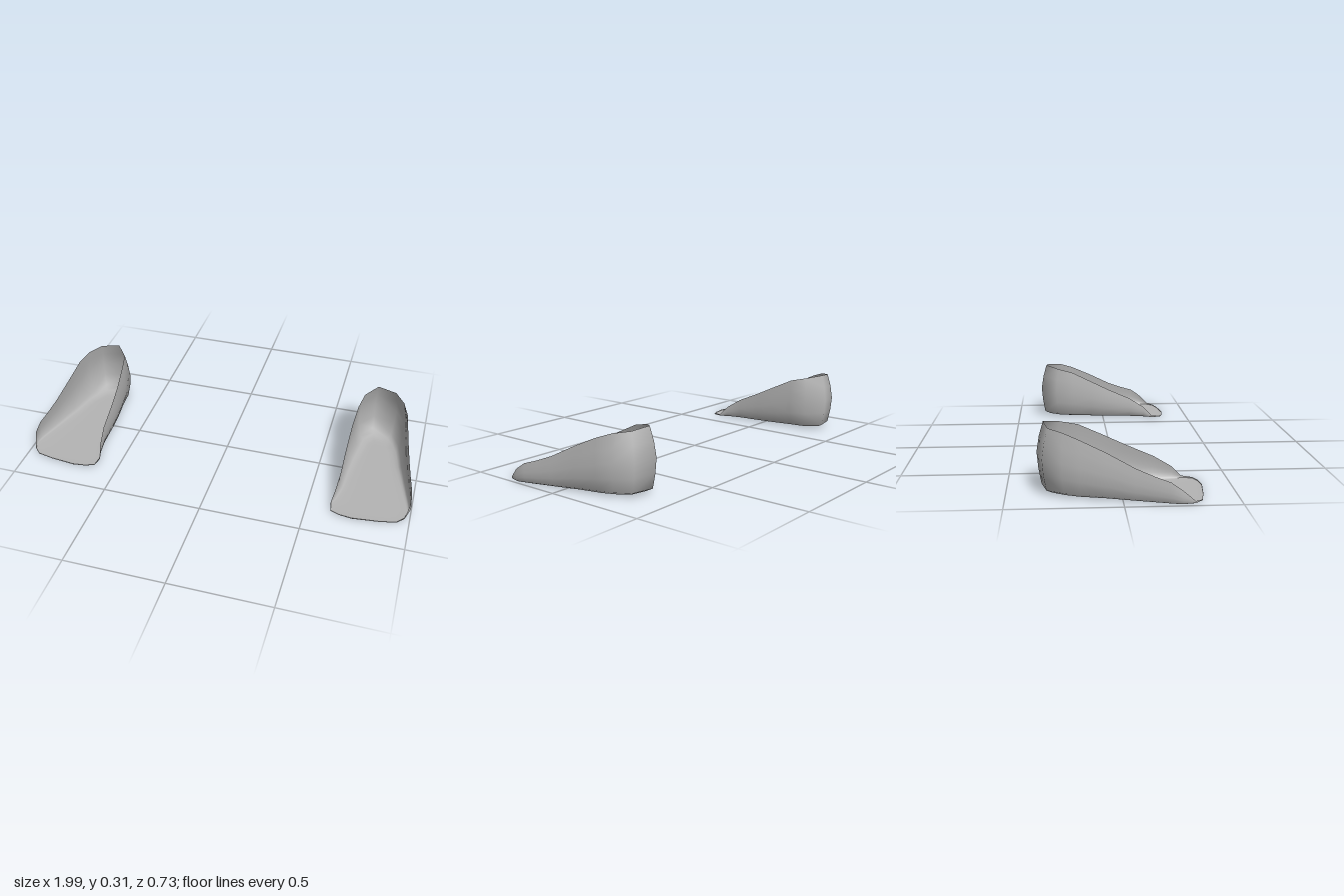
import * as THREE from 'three';

// Open rim of the left shell, from the toe round the outer side and heel and back: x, y, z
const RIM = [
  [0.73, 0.007, 0.367], [0.86, 0.006, 0.352], [0.94, 0.006, 0.335], [0.975, 0.012, 0.3],
  [0.995, 0.063, 0.245], [0.988, 0.098, 0.195], [0.972, 0.119, 0.13], [0.953, 0.15, 0.05],
  [0.925, 0.212, -0.07], [0.905, 0.262, -0.18], [0.875, 0.287, -0.25], [0.825, 0.297, -0.315],
  [0.73, 0.306, -0.335], [0.67, 0.29, -0.265], [0.652, 0.27, -0.18], [0.64, 0.218, -0.07],
  [0.636, 0.17, 0.03], [0.635, 0.113, 0.16], [0.625, 0.06, 0.245], [0.613, 0.012, 0.29],
  [0.622, 0.006, 0.34], [0.665, 0.006, 0.358],
];

// Wall profile from rim to floor: height fraction, outset at the heel, outset at the sides
const WALL = [
  [1, 0, 0], [0.78, 0.02, 0.006], [0.54, 0.032, 0.009], [0.3, 0.025, 0.006],
  [0.07, 0.012, -0.012], [0.02, -0.02, -0.03], [0, -0.05, -0.05],
];
const FLOOR = 0.002;
const SPINE_X = 0.765;

function shellGeometry(side) {
  const positions = [];
  const index = [];
  const n = RIM.length;
  const spine = (z) => THREE.MathUtils.clamp(z, -0.2, 0.25);
  const floorRing = [];

  // Wall rings swell outward, most of all round the tall heel
  for (const [f, heel, flank] of WALL) {
    RIM.forEach(([x, y, z], i) => {
      const dir = new THREE.Vector2(x - SPINE_X, z - spine(z)).normalize();
      const back = Math.max(0, -dir.y);
      const out = THREE.MathUtils.lerp(flank, heel, back) * Math.min(1, y / 0.25);
      const px = x + dir.x * out;
      const pz = z + dir.y * out;
      positions.push(side * px, FLOOR * (1 - f) + y * f, pz);
      floorRing[i] = [px, pz];
    });
  }
  // Floor rings close in on the middle line of the sole
  for (const k of [0.8, 0.4, 0]) {
    for (const [x, z] of floorRing) {
      const s = spine(z);
      positions.push(side * (SPINE_X + (x - SPINE_X) * k), 0, s + (z - s) * k);
    }
  }
  const rings = WALL.length + 3;
  for (let r = 0; r < rings - 1; r++) {
    for (let i = 0; i < n; i++) {
      const j = (i + 1) % n;
      const a = r * n + i, b = r * n + j, c = a + n, d = b + n;
      if (side > 0) index.push(a, b, c, b, d, c);
      else index.push(a, c, b, b, c, d);
    }
  }
  const geometry = new THREE.BufferGeometry();
  geometry.setAttribute('position', new THREE.Float32BufferAttribute(positions, 3));
  geometry.setIndex(index);
  // Wall faces must point away from the middle line
  const p = (k) => new THREE.Vector3().fromArray(positions, k * 3);
  const t = 12 + n * 2;
  const normal = p(t + 1).sub(p(t)).cross(p(t + n).sub(p(t)));
  if (normal.z > 0) {
    for (let k = 0; k < index.length; k += 3) [index[k], index[k + 1]] = [index[k + 1], index[k]];
    geometry.setIndex(index);
  }
  geometry.computeVertexNormals();
  return geometry;
}

export function createModel() {
  const model = new THREE.Group();
  model.name = 'pairOfHeelShells';
  const grey = new THREE.MeshStandardMaterial({ color: 0xb4b4b4, side: THREE.DoubleSide });
  grey.name = 'grey';
  for (const side of [1, -1]) {
    const shell = new THREE.Mesh(shellGeometry(side), grey);
    shell.name = side > 0 ? 'leftShell' : 'rightShell';
    model.add(shell);
  }
  return model;
}
